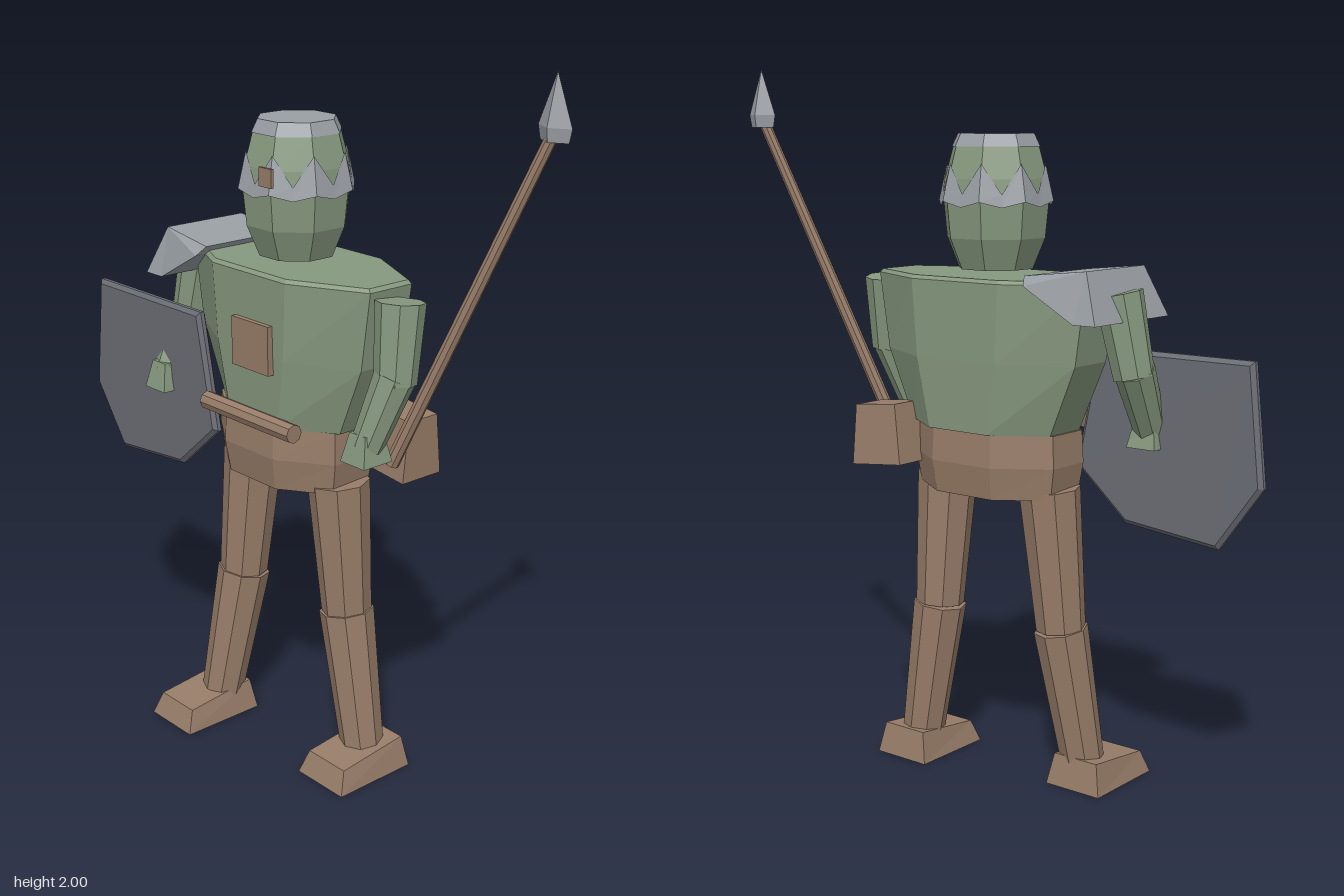
import * as THREE from 'three';

const mat = (name, color, side = THREE.FrontSide) =>
  Object.assign(new THREE.MeshStandardMaterial({ color, side }), { name });

export function createModel() {
  const green = mat('sage cloth', 0x87997f);
  const brown = mat('leather', 0x987d69);
  const steel = mat('light steel', 0x9a9fa5, THREE.DoubleSide);
  const iron = mat('dark iron', 0x6b6d75);

  const root = new THREE.Group();
  root.name = 'spearGuard';
  const body = new THREE.Group();
  body.name = 'body';
  body.rotation.y = -Math.PI / 3; // stands turned to its right
  root.add(body);

  // Faceted mesh with hard edges
  function add(name, geometry, material, x = 0, y = 0, z = 0) {
    const g = geometry.index ? geometry.toNonIndexed() : geometry;
    g.computeVertexNormals();
    const m = new THREE.Mesh(g, material);
    m.name = name;
    m.position.set(x, y, z);
    body.add(m);
    return m;
  }

  // Moves every vertex by a rule
  function warp(g, rule) {
    const p = g.attributes.position;
    const v = new THREE.Vector3();
    for (let i = 0; i < p.count; i++) {
      v.fromBufferAttribute(p, i);
      rule(v, i);
      p.setXYZ(i, v.x, v.y, v.z);
    }
    return g;
  }

  // Eight-sided stack of rings [y, half width, half depth]
  function loft(rings) {
    const n = rings.length - 1;
    const g = new THREE.CylinderGeometry(1, 1, 1, 8, n).rotateY(Math.PI / 8);
    return warp(g, v => {
      const [y, a, b] = rings[Math.round((v.y + 0.5) * n)];
      v.set(v.x * a, y, v.z * b);
    });
  }

  // Tapered limb from p to q
  function limb(name, p, q, r0, r1, material, sides = 8) {
    const a = new THREE.Vector3(...p), b = new THREE.Vector3(...q);
    const d = b.clone().sub(a);
    const m = add(name, new THREE.CylinderGeometry(r1, r0, d.length(), sides), material);
    m.position.copy(a).add(b).multiplyScalar(0.5);
    m.quaternion.setFromUnitVectors(new THREE.Vector3(0, 1, 0), d.normalize());
    return m;
  }

  // Box whose top is scaled by (sx, sz)
  const taperBox = (w, h, d, sx, sz) => warp(new THREE.BoxGeometry(w, h, d), v => {
    if (v.y > 0) { v.x *= sx; v.z *= sz; }
  });

  // Torso and hips
  add('torso', loft([[1.02, 0.265, 0.175], [1.215, 0.355, 0.185], [1.43, 0.39, 0.19], [1.44, 0.38, 0.18]]), green, 0, 0, 0.025);
  add('hips', loft([[0.84, 0.25, 0.165], [0.93, 0.265, 0.18], [1.02, 0.26, 0.175]]), brown, -0.01, 0, 0.03);

  // Head, helmet dome and crown
  add('head', loft([[1.455, 0.105, 0.105], [1.54, 0.14, 0.14], [1.64, 0.15, 0.15]]), green, -0.005, 0, 0.025);
  add('helmetDome', loft([[1.64, 0.152, 0.152], [1.7, 0.145, 0.145], [1.785, 0.122, 0.122]]), green, -0.005, 0, 0.025);
  add('helmetCrown', loft([[1.785, 0.125, 0.125], [1.82, 0.108, 0.108]]), steel, -0.005, 0, 0.025);

  // Brim with points rising along the corners of the dome
  const brim = new THREE.CylinderGeometry(1, 1, 1, 16, 1, true);
  warp(brim, (v, i) => {
    const corner = (i % 17) % 2 === 1;
    const k = corner ? 1 : Math.cos(Math.PI / 8);
    const top = v.y > 0;
    const y = top ? (corner ? 1.74 : 1.66) : (corner ? 1.64 : 1.625);
    const r = (top ? (corner ? 0.14 : 0.156) : 0.163) * k;
    v.set(v.x * r, y, v.z * r);
  });
  add('helmetBrim', brim, steel, -0.005, 0, 0.025);

  // Small leather pieces on the front
  add('helmetTag', new THREE.BoxGeometry(0.05, 0.05, 0.009), brown, 0.062, 1.69, 0.187);
  add('chestPatch', new THREE.BoxGeometry(0.15, 0.135, 0.02), brown, 0.02, 1.237, 0.203);
  limb('bedroll', [-0.185, 1.03, 0.2], [0.185, 1.03, 0.2], 0.026, 0.026, brown);

  // Hip pouch
  add('pouch', taperBox(0.18, 0.17, 0.14, 0.82, 0.75), brown, 0.29, 0.98, -0.09).rotation.z = -0.1;

  // Legs: hip, knee, ankle, then foot centre
  const legs = [
    ['left', [0.183, 0.86, 0.039], [0.197, 0.47, 0.018], [0.255, 0.07, 0.008], [0.265, 0.046]],
    ['right', [-0.194, 0.86, 0.026], [-0.219, 0.46, 0.049], [-0.257, 0.07, 0.105], [-0.275, 0.16]],
  ];
  for (const [side, hip, knee, ankle, foot] of legs) {
    limb(side + 'Thigh', knee, hip, 0.07, 0.086, brown);
    limb(side + 'Shin', ankle, knee, 0.062, 0.077, brown);
    const g = warp(new THREE.BoxGeometry(0.18, 0.09, 0.26), v => {
      if (v.y < 0) return;
      v.x *= 0.8;
      if (v.z > 0) { v.y -= 0.025; v.z -= 0.025; } else v.z += 0.015;
    });
    add(side + 'Foot', g, brown, foot[0], 0.045, foot[1]);
  }

  // Arms: shoulder, elbow, wrist
  const arms = [
    ['left', [0.41, 1.41, 0.04], [0.42, 1.2, 0.063], [0.376, 1.03, 0.119]],
    ['right', [-0.415, 1.41, 0.025], [-0.455, 1.19, 0.044], [-0.446, 1.03, 0.14]],
  ];
  for (const [side, shoulder, elbow, wrist] of arms) {
    limb(side + 'UpperArm', elbow, shoulder, 0.056, 0.066, green);
    limb(side + 'Forearm', wrist, [elbow[0], elbow[1] + 0.02, elbow[2]], 0.044, 0.056, green);
    add(side + 'Hand', taperBox(0.09, 0.08, 0.1, 0.65, 0.65), green, wrist[0], 1.03, wrist[2]);
  }

  const outline = pts => new THREE.Shape(pts.map(p => new THREE.Vector2(...p)));

  // Shoulder plate on the right
  const plate = new THREE.ExtrudeGeometry(
    outline([[-0.215, 1.455], [-0.23, 1.43], [-0.39, 1.34], [-0.46, 1.34], [-0.405, 1.475]].reverse()),
    { depth: 0.34, bevelEnabled: false });
  warp(plate, v => {
    v.z -= 0.17;
    if (v.x < -0.4 && v.y > 1.4) v.z *= 0.78;
    else if (v.y > 1.44) v.z *= 0.85;
  });
  add('shoulderPlate', plate, steel, 0, 0, 0.025);

  // Shield carried in the right hand
  const shield = new THREE.ExtrudeGeometry(
    outline([[-0.765, 1.25], [-0.8, 0.92], [-0.67, 0.74], [-0.375, 0.77], [-0.21, 0.915], [-0.28, 1.25]]),
    { depth: 0.012, bevelEnabled: true, bevelThickness: 0.01, bevelSize: 0.012, bevelOffset: -0.012, bevelSegments: 1 });
  add('shield', shield, iron, 0, 0, 0.132);

  // Spear in the left hand
  const toBody = (x, y, z) => [0.5 * x + 0.866 * z, y, -0.866 * x + 0.5 * z];
  limb('spearShaft', toBody(0.16, 0.965, 0.355), toBody(0.483, 1.85, 0.56), 0.02, 0.016, brown);
  const tip = new THREE.ConeGeometry(1, 0.13, 4).translate(0, 0.065, 0);
  warp(tip, v => { v.x *= 0.053; v.z *= 0.03; });
  const base = toBody(0.488, 1.87, 0.56);
  add('spearHead', tip, steel, ...base);
  const socket = new THREE.CylinderGeometry(1, 0.85, 0.035, 4).translate(0, -0.0175, 0);
  warp(socket, v => { v.x *= 0.053; v.z *= 0.03; });
  add('spearSocket', socket, steel, ...base);

  return root;
}
